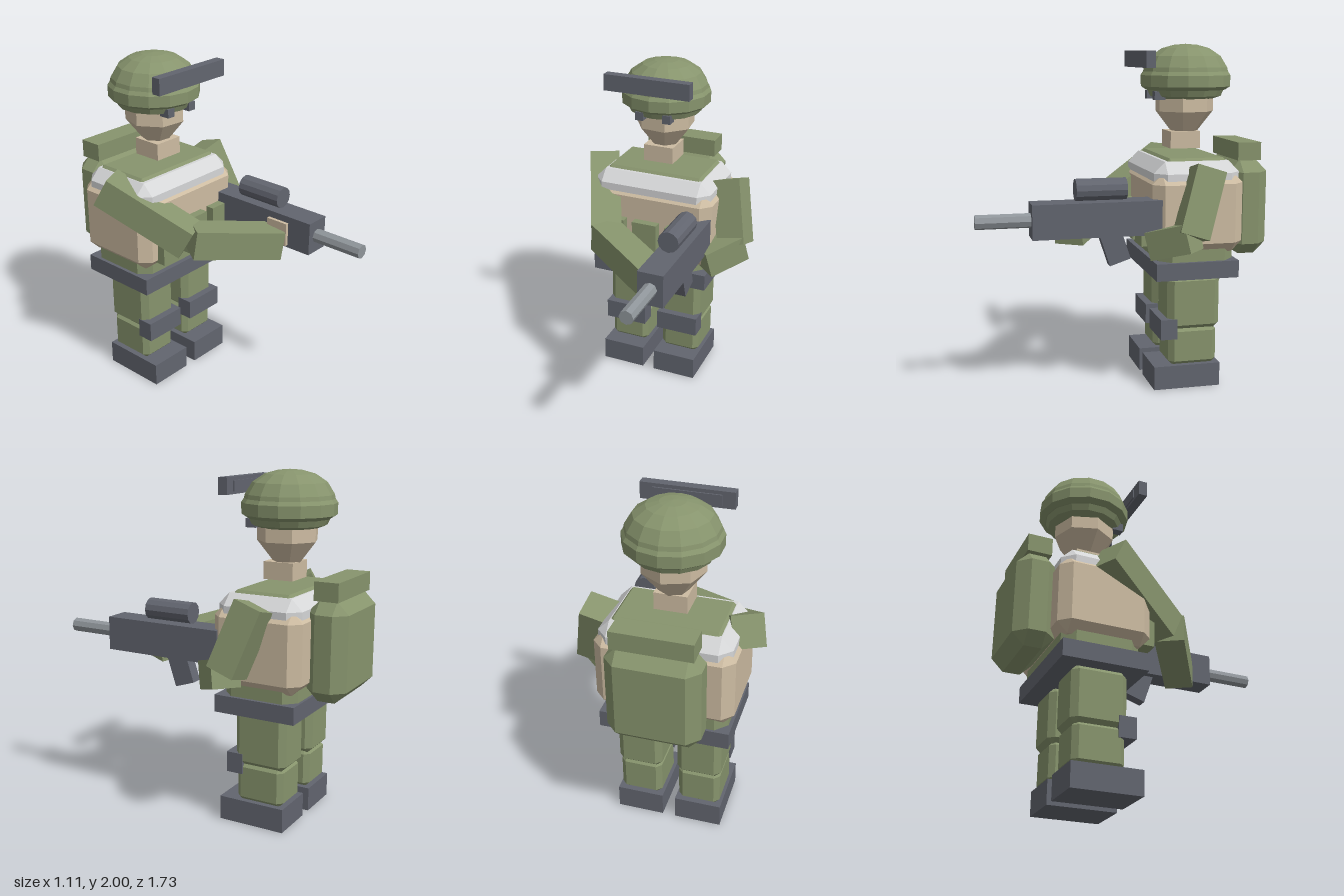
import * as THREE from 'three';
import { ConvexGeometry } from 'three/addons/geometries/ConvexGeometry.js';

const mat = (name, color, extra = {}) => {
  const m = new THREE.MeshStandardMaterial({ color, flatShading: true, ...extra });
  m.name = name;
  return m;
};

export function createModel() {
  const green = mat('olive cloth', 0x87946d);
  const tan = mat('tan', 0xcdbca2);
  const dark = mat('dark grey', 0x62656f);
  const pale = mat('pale grey', 0xd6d7d8);
  const metal = mat('barrel grey', 0x8f959a);

  const model = new THREE.Group();
  model.name = 'soldier';
  const add = (name, geo, material) => {
    const mesh = new THREE.Mesh(geo, material);
    mesh.name = name;
    model.add(mesh);
    return mesh;
  };

  // Box given by its extents along x, y and z
  const box = (name, material, [x0, x1], [y0, y1], [z0, z1]) => {
    const mesh = add(name, new THREE.BoxGeometry(x1 - x0, y1 - y0, z1 - z0), material);
    mesh.position.set((x0 + x1) / 2, (y0 + y1) / 2, (z0 + z1) / 2);
    return mesh;
  };

  // Box with every edge cut at 45 degrees
  const bevelBox = (name, material, [x0, x1], [y0, y1], [z0, z1], c) => {
    const w = (x1 - x0) / 2, h = (y1 - y0) / 2, d = (z1 - z0) / 2;
    const pts = [];
    for (const sx of [-1, 1]) for (const sy of [-1, 1]) for (const sz of [-1, 1]) {
      pts.push(new THREE.Vector3(sx * w, sy * (h - c), sz * (d - c)));
      pts.push(new THREE.Vector3(sx * (w - c), sy * h, sz * (d - c)));
      pts.push(new THREE.Vector3(sx * (w - c), sy * (h - c), sz * d));
    }
    const mesh = add(name, new ConvexGeometry(pts), material);
    mesh.position.set((x0 + x1) / 2, (y0 + y1) / 2, (z0 + z1) / 2);
    return mesh;
  };

  // Square limb running from one point to another
  const limb = (name, from, to, width, height, up = [0, 1, 0]) => {
    const a = new THREE.Vector3(...from), b = new THREE.Vector3(...to);
    const mesh = add(name, new THREE.BoxGeometry(width, height, a.distanceTo(b)), green);
    mesh.up.set(...up);
    mesh.position.copy(a).add(b).multiplyScalar(0.5);
    mesh.lookAt(b);
    return mesh;
  };

  // Legs
  const cx = -0.05;
  for (const [side, x] of [['right', cx - 0.175], ['left', cx + 0.175]]) {
    const span = (half) => [x - half, x + half];
    box(side + 'Boot', dark, span(0.137), [0, 0.14], [-0.55, -0.15]);
    bevelBox(side + 'Shin', green, span(0.123), [0.13, 0.37], [-0.535, -0.245], 0.03);
    bevelBox(side + 'Thigh', green, span(0.13), [0.345, 0.68], [-0.55, -0.235], 0.035);
    box(side + 'KneePad', dark, span(0.132), [0.3, 0.42], [-0.29, -0.19]);
  }

  // Torso, vest and belt
  box('belt', dark, [-0.42, 0.32], [0.67, 0.77], [-0.635, -0.145]);
  bevelBox('torso', green, [-0.4, 0.3], [0.7, 1.36], [-0.62, -0.175], 0.065);
  bevelBox('vest', tan, [-0.44, 0.34], [0.82, 1.28], [-0.66, -0.125], 0.06);
  bevelBox('vestYoke', pale, [-0.42, 0.32], [1.1, 1.345], [-0.645, -0.14], 0.065);
  for (const x of [-0.26, -0.05, 0.16])
    box('pouch', green, [x - 0.078, x + 0.078], [0.86, 1.08], [-0.16, -0.075]);

  // Backpack
  bevelBox('backpack', green, [-0.31, 0.21], [0.77, 1.33], [-0.86, -0.625], 0.068);
  box('bedroll', green, [-0.275, 0.175], [1.33, 1.435], [-0.81, -0.67]);

  // Neck and faceted head
  box('neck', tan, [-0.145, 0.04], [1.395, 1.495], [-0.48, -0.3]);
  const headProfile = [[0, 1.49], [0.08, 1.49], [0.176, 1.61], [0.176, 1.76], [0, 1.82]];
  const lathe = (pts, n) => new THREE.LatheGeometry(pts.map((p) => new THREE.Vector2(...p)), n);
  const head = add('head', lathe(headProfile, 7), tan);
  head.position.set(cx, 0, -0.405);
  head.rotation.y = THREE.MathUtils.degToRad(-18.6 + 0) + Math.PI * 2 / 7 * 0.75;
  for (const x of [-0.132, 0.037])
    box('eye', dark, [x - 0.025, x + 0.025], [1.68, 1.73], [-0.26, -0.195]);

  // Helmet: lower lining, rim band and dome
  const helmet = (name, pts) => add(name, lathe(pts, 14), green).position.set(cx, 0, -0.41);
  helmet('helmetLining', [[0, 1.685], [0.17, 1.685], [0.212, 1.70], [0.235, 1.75], [0, 1.76]]);
  helmet('helmetRim', [[0, 1.735], [0.235, 1.735], [0.266, 1.755], [0.267, 1.82], [0.25, 1.845], [0, 1.85]]);
  helmet('helmetDome', [[0, 1.8], [0.262, 1.8], [0.247, 1.865], [0.207, 1.93], [0.14, 1.975], [0.07, 1.994], [0, 2]]);

  // Goggles
  box('goggles', dark, [-0.31, 0.21], [1.865, 1.96], [-0.16, -0.105]);
  box('goggleLens', dark, [-0.24, 0.14], [1.88, 1.94], [-0.168, -0.16]);

  // Arms
  limb('rightUpperArm', [-0.46, 1.3, -0.41], [-0.24, 1.03, 0.04], 0.18, 0.18);
  limb('rightForearm', [-0.25, 1.04, 0.06], [0.19, 0.965, 0.34], 0.17, 0.17);
  limb('leftUpperArm', [0.37, 1.31, -0.42], [0.455, 0.95, -0.3], 0.17, 0.17, [0, 0, 1]);
  limb('leftForearm', [0.48, 0.955, -0.31], [0.31, 0.885, -0.13], 0.16, 0.16);
  box('rightHand', tan, [0.168, 0.335], [0.96, 1.1], [0.27, 0.41]);

  // Rifle
  box('rifleBody', dark, [0.188, 0.338], [0.945, 1.14], [-0.17, 0.56]);
  const tube = (name, r, n, y, z0, z1, material) => {
    const mesh = add(name, new THREE.CylinderGeometry(r, r, z1 - z0, n), material);
    mesh.rotation.x = Math.PI / 2;
    mesh.position.set(0.263, y, (z0 + z1) / 2);
  };
  tube('rifleBarrel', 0.041, 8, 1.045, 0.55, 0.865, metal);
  tube('rifleScope', 0.062, 12, 1.205, 0.025, 0.312, dark);
  const grip = box('rifleGrip', dark, [0.23, 0.3], [0.785, 1.005], [0.035, 0.16]);
  grip.rotation.x = 0.32;

  return model;
}
